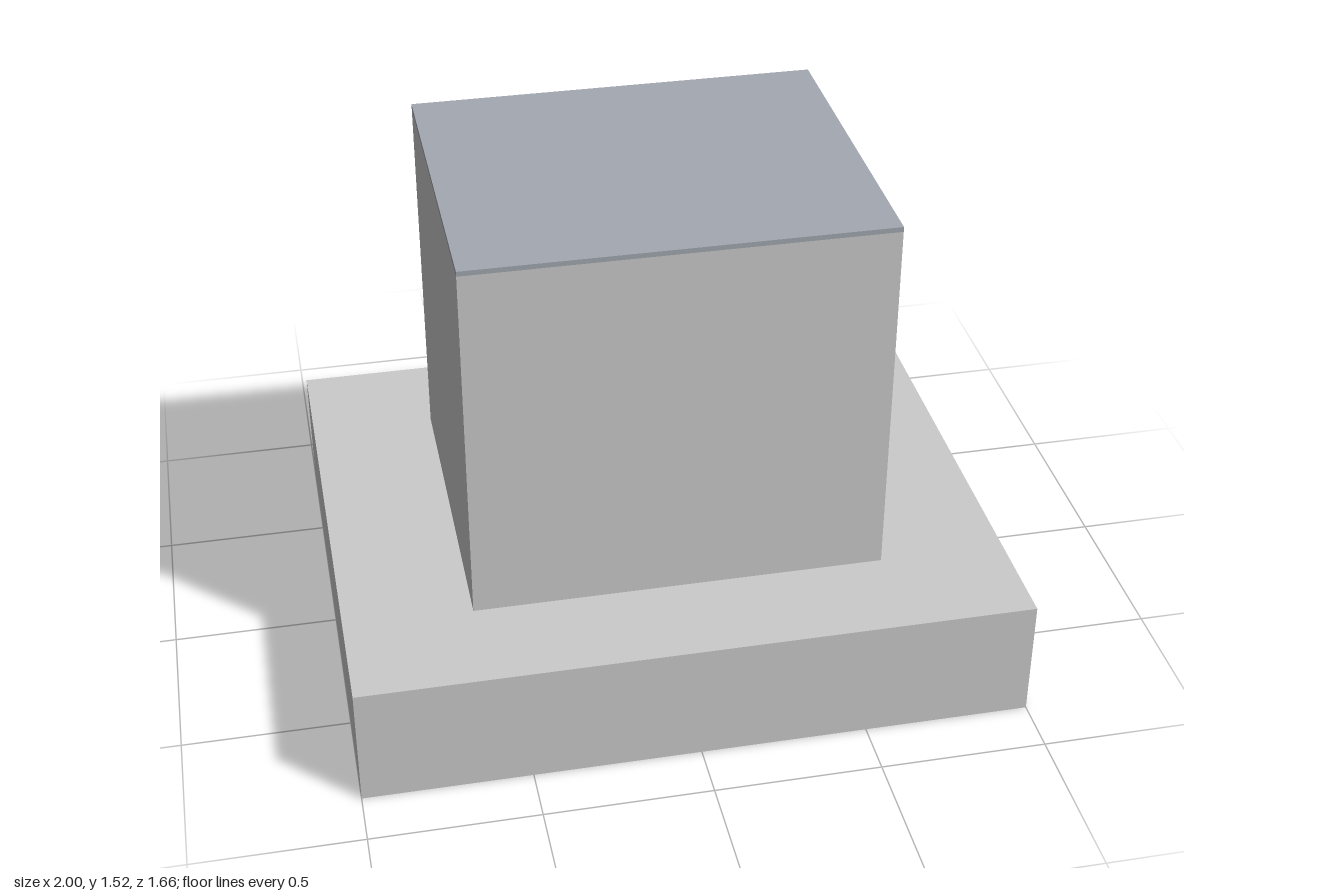
import * as THREE from 'three';

// Box resting at height y, centred on x and z
function slab(name, width, height, depth, y, color) {
  const mesh = new THREE.Mesh(
    new THREE.BoxGeometry(width, height, depth),
    new THREE.MeshStandardMaterial({ color })
  );
  mesh.name = name;
  mesh.position.y = y + height / 2;
  return mesh;
}

export function createModel() {
  const model = new THREE.Group();
  model.name = 'steppedBlock';

  const baseHeight = 0.377;
  const blockHeight = 1.128;
  const capHeight = 0.015;

  model.add(
    // Wide plinth
    slab('base', 2, baseHeight, 1.664, 0, 0xcccccc),
    // Upright block
    slab('block', 1.236, blockHeight, 1.03, baseHeight, 0xcccccc),
    // Thin blue-grey sheet covering the block
    slab('topCap', 1.236, capHeight, 1.03, baseHeight + blockHeight, 0xa3a8b2)
  );
  return model;
}
